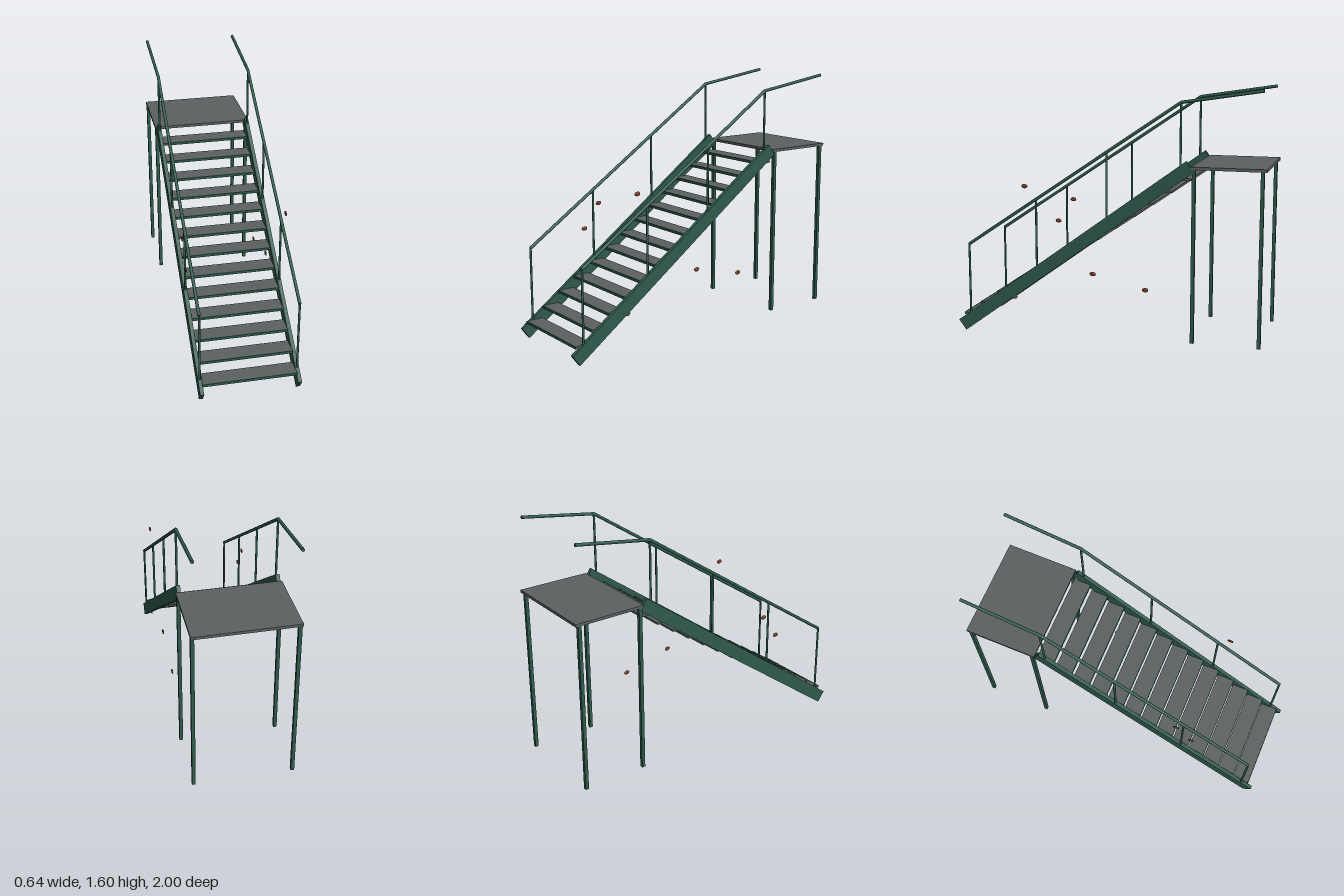
import * as THREE from 'three';

const green = new THREE.MeshStandardMaterial({ color: 0x2f5a4c });
const grey = new THREE.MeshStandardMaterial({ color: 0x5c6060 });
const rust = new THREE.MeshStandardMaterial({ color: 0x7a3f22 });

export function createModel() {
  const model = new THREE.Group();

  const add = (name, geometry, material, x, y, z) => {
    const mesh = new THREE.Mesh(geometry, material);
    mesh.name = name;
    mesh.position.set(x, y, z);
    model.add(mesh);
    return mesh;
  };

  // Round bar between two [y, z] points at a given x
  const bar = (name, x, [y0, z0], [y1, z1], radius) => {
    const a = new THREE.Vector3(x, y0, z0);
    const b = new THREE.Vector3(x, y1, z1);
    const dir = b.clone().sub(a);
    const mid = a.clone().add(b).multiplyScalar(0.5);
    const mesh = add(name, new THREE.CylinderGeometry(radius, radius, dir.length(), 12), green, mid.x, mid.y, mid.z);
    mesh.quaternion.setFromUnitVectors(new THREE.Vector3(0, 1, 0), dir.normalize());
  };

  const slope = Math.atan2(1.1, 1.512);
  const rail = [[0.58, 0.92], [1.52, -0.475], [1.595, -0.97]];

  for (const side of [-1, 1]) {
    const x = side * 0.3;
    const label = side > 0 ? 'left' : 'right';

    // Sloping side beam
    const beam = add(label + 'Stringer', new THREE.BoxGeometry(0.024, 0.083, 1.87), green, x, 0.585, 0.221);
    beam.rotation.x = slope;

    // Handrail with a bend above the top step
    bar(label + 'Handrail', x, rail[0], rail[1], 0.01);
    bar(label + 'UpperHandrail', x, rail[1], rail[2], 0.01);
    add(label + 'HandrailBend', new THREE.SphereGeometry(0.01, 12, 8), green, x, ...rail[1]);

    // Railing posts, evenly spaced up the slope
    for (let i = 0; i < 4; i++) {
      const t = i / 3;
      const z = 0.92 - 1.395 * t;
      bar(label + 'Post', x, [0.1 + 1.01 * t, z], [0.58 + 0.94 * t, z], 0.007);
    }

    // Platform legs
    for (const z of [-0.56, -0.973]) {
      add(label + 'PlatformLeg', new THREE.BoxGeometry(0.022, 1.08, 0.022), green, side * 0.308, 0.58, z);
    }
  }

  // Treads with a green front edge
  for (let i = 0; i < 13; i++) {
    const y = 0.109 + i * 0.0788;
    const front = 0.97 - i * 0.1163;
    add('tread', new THREE.BoxGeometry(0.58, 0.014, 0.11), grey, 0, y, front - 0.059);
    add('treadNosing', new THREE.BoxGeometry(0.58, 0.017, 0.006), green, 0, y, front - 0.003);
  }

  // Landing
  add('platform', new THREE.BoxGeometry(0.64, 0.018, 0.46), grey, 0, 1.128, -0.77);

  // Small flat rust patches: side, y, z
  const patches = [
    [1, 0.975, 0.53], [-1, 0.8, 0.41], [-1, 0.645, 0.52], [1, 0.25, 0.61],
    [1, 0.435, 0.08], [1, 0.355, -0.26], [1, 0.89, -0.235],
  ];
  for (const [side, y, z] of patches) {
    const patch = add('rustPatch', new THREE.SphereGeometry(1, 12, 8), rust, side * 0.306, y, z);
    patch.scale.set(0.006, 0.014, 0.021);
  }

  return model;
}
